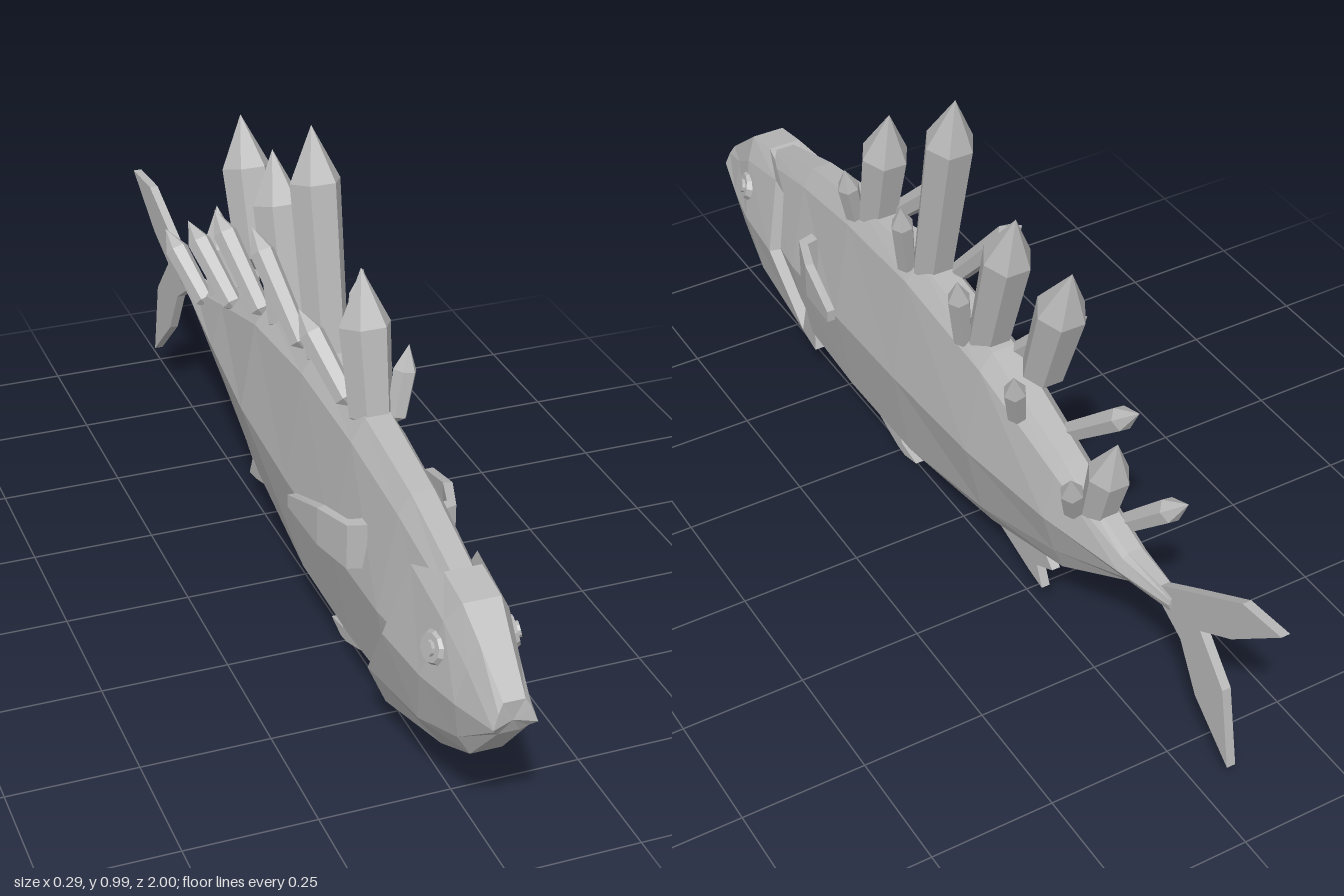
import * as THREE from 'three';

const grey = new THREE.MeshStandardMaterial({ color: 0xb8b8b8, flatShading: true });

// sideways sweep of the tail
const bend = (z) => (z < -0.5 ? (z + 0.5) * 0.08 : 0);

function add(parent, geo, name) {
  const flat = geo.index ? geo.toNonIndexed() : geo;
  flat.computeVertexNormals();
  const mesh = new THREE.Mesh(flat, grey);
  mesh.name = name;
  parent.add(mesh);
  return mesh;
}

// closed skin through rings of [x, y, z], capped at both ends
function loft(rings) {
  const pos = [];
  const tri = (...pts) => pts.forEach((p) => pos.push(...p));
  const n = rings[0].length;
  for (let i = 0; i < rings.length - 1; i++) {
    for (let j = 0; j < n; j++) {
      const k = (j + 1) % n;
      const a = rings[i][j], b = rings[i][k], c = rings[i + 1][k], d = rings[i + 1][j];
      tri(a, b, c);
      tri(a, c, d);
    }
  }
  const centre = (r) => [0, 1, 2].map((k) => r.reduce((s, p) => s + p[k], 0) / n);
  const first = rings[0], last = rings[rings.length - 1];
  for (let j = 0; j < n; j++) {
    const k = (j + 1) % n;
    tri(centre(first), first[k], first[j]);
    tri(centre(last), last[j], last[k]);
  }
  const geo = new THREE.BufferGeometry();
  geo.setAttribute('position', new THREE.Float32BufferAttribute(pos, 3));
  return geo;
}

// half ring listed from top to bottom, mirrored across x
const mirror = (half) => [...half, ...half.slice().reverse().map(([x, y, z]) => [-x, y, z])];

// flat fin from [z, y] outline points
function fin(outline, thick) {
  const shape = new THREE.Shape(outline.map(([z, y]) => new THREE.Vector2(-z, y)));
  const geo = new THREE.ExtrudeGeometry(shape, { depth: thick, bevelEnabled: false });
  geo.translate(0, 0, -thick / 2).rotateY(Math.PI / 2);
  const p = geo.attributes.position;
  for (let i = 0; i < p.count; i++) p.setX(i, p.getX(i) + bend(p.getZ(i)));
  return geo;
}

// six-sided pointed crystal standing from base to tip
function crystal(parent, base, tip, r, name) {
  const a = new THREE.Vector3(...base), b = new THREE.Vector3(...tip);
  const h = a.distanceTo(b);
  const profile = [[0, -r * 0.6], [r * 0.85, 0], [r, h - r * 2.1], [0, h]];
  const geo = new THREE.LatheGeometry(profile.map((p) => new THREE.Vector2(...p)), 6);
  geo.rotateY(Math.PI / 6);
  const mesh = add(parent, geo, name);
  mesh.position.copy(a);
  mesh.quaternion.setFromUnitVectors(new THREE.Vector3(0, 1, 0), b.sub(a).normalize());
}

export function createModel() {
  const fish = new THREE.Group();
  fish.name = 'crystalFish';

  // body: z, then [half-width, height] for top, shoulder, widest, low, keel
  const sections = [
    [0.80, [0.02, 0.46], [0.035, 0.43], [0.06, 0.30], [0.04, 0.17], [0.02, 0.15]],
    [0.59, [0.022, 0.525], [0.045, 0.485], [0.082, 0.295], [0.05, 0.12], [0.02, 0.08]],
    [0.38, [0.025, 0.565], [0.052, 0.52], [0.087, 0.30], [0.052, 0.105], [0.02, 0.065]],
    [0.13, [0.025, 0.58], [0.055, 0.535], [0.088, 0.31], [0.052, 0.108], [0.02, 0.065]],
    [-0.15, [0.025, 0.54], [0.052, 0.505], [0.083, 0.322], [0.045, 0.16], [0.02, 0.115]],
    [-0.40, [0.02, 0.455], [0.04, 0.43], [0.062, 0.335], [0.035, 0.24], [0.015, 0.19]],
    [-0.60, [0.015, 0.38], [0.025, 0.37], [0.035, 0.345], [0.022, 0.325], [0.01, 0.31]],
    [-0.72, [0.008, 0.362], [0.011, 0.355], [0.014, 0.345], [0.011, 0.335], [0.008, 0.328]],
  ];
  add(fish, loft(sections.map(([z, ...half]) =>
    mirror(half.map(([x, y]) => [x, y, z])).map(([x, y]) => [x + bend(z), y, z]))), 'body');

  // head: a slightly larger shell ending in the gill edge
  const headRings = [
    [[0.02, 0.352, 0.99], [0.03, 0.335, 0.995], [0.04, 0.308, 1], [0.03, 0.293, 0.985], [0.02, 0.28, 0.975]],
    [[0.028, 0.415, 0.91], [0.048, 0.37, 0.905], [0.066, 0.30, 0.90], [0.052, 0.22, 0.885], [0.03, 0.183, 0.89]],
    [[0.035, 0.462, 0.85], [0.06, 0.42, 0.83], [0.088, 0.298, 0.80], [0.072, 0.18, 0.76], [0.035, 0.13, 0.78]],
    [[0.035, 0.476, 0.77], [0.062, 0.45, 0.69], [0.1, 0.297, 0.66], [0.082, 0.15, 0.55], [0.05, 0.075, 0.56]],
  ];
  add(fish, loft(headRings.map(mirror)), 'head');

  // eyes and curved side fins
  for (const s of [1, -1]) {
    const side = s > 0 ? 'left' : 'right';
    const eye = new THREE.Group();
    eye.name = side + 'Eye';
    [[0.033, 0.012], [0.018, 0.024]].forEach(([r, h], i) =>
      add(eye, new THREE.CylinderGeometry(r * 0.8, r, h, 10), i ? 'pupil' : 'eyeRim'));
    eye.position.set(s * 0.074, 0.365, 0.82);
    eye.quaternion.setFromUnitVectors(
      new THREE.Vector3(0, 1, 0), new THREE.Vector3(s, 0.24, 0.22).normalize());
    fish.add(eye);

    // outer x, z, inner x, z, top, bottom
    const path = [
      [0.07, 0.51, 0.07, 0.485, 0.425, 0.335],
      [0.105, 0.50, 0.095, 0.48, 0.425, 0.335],
      [0.132, 0.42, 0.115, 0.415, 0.422, 0.345],
      [0.145, 0.30, 0.128, 0.30, 0.385, 0.36],
    ];
    const rings = path.map(([ox, oz, ix, iz, t, b]) => {
      const ring = [[s * ox, t, oz], [s * ox, b, oz], [s * ix, b, iz], [s * ix, t, iz]];
      return s > 0 ? ring : ring.reverse();
    });
    add(fish, loft(rings), side + 'SideFin');
  }

  // tail and belly fins
  add(fish, fin([[-0.66, 0.35], [-0.77, 0.415], [-0.90, 0.49], [-1, 0.492], [-0.88, 0.39],
    [-0.80, 0.345], [-0.87, 0.255], [-0.90, 0.085], [-0.80, 0.185], [-0.75, 0.285]], 0.018), 'tailFin');
  add(fish, fin([[0.42, 0.08], [0.33, 0.03], [0.26, 0.004], [0.23, 0], [0.18, 0.013],
    [0.24, 0.025], [0.28, 0.08]], 0.022), 'bellyFin');
  add(fish, fin([[-0.10, 0.125], [-0.27, 0.075], [-0.32, 0.065], [-0.30, 0.11], [-0.355, 0.14],
    [-0.30, 0.19], [-0.2, 0.2]], 0.018), 'rearBellyFin');

  // crystal ridge: base y, z, tip y, z, radius
  const ridge = [
    [0.55, 0.345, 0.818, 0.287, 0.05],
    [0.56, 0.12, 0.992, 0.03, 0.05],
    [0.53, -0.095, 0.858, -0.187, 0.05],
    [0.585, -0.29, 0.858, -0.378, 0.05],
    [0.40, -0.49, 0.59, -0.542, 0.042],
  ];
  const leftShards = [
    [0.55, 0.365, 0.68, 0.345],
    [0.56, 0.15, 0.727, 0.115],
    [0.525, -0.07, 0.69, -0.10],
    [0.48, -0.27, 0.605, -0.305],
    [0.40, -0.47, 0.51, -0.505],
  ];
  const rightShards = [
    [0.57, 0.31, 0.70, 0.18],
    [0.57, 0.07, 0.752, -0.08],
    [0.53, -0.16, 0.69, -0.31],
    [0.46, -0.34, 0.59, -0.49],
    [0.38, -0.53, 0.50, -0.655],
  ];
  const crystals = new THREE.Group();
  crystals.name = 'crystals';
  fish.add(crystals);
  ridge.forEach(([y, z, ty, tz, r]) => crystal(crystals, [0, y, z], [0, ty, tz], r, 'ridgeCrystal'));
  leftShards.forEach(([y, z, ty, tz]) => crystal(crystals, [0.042, y, z], [0.072, ty, tz], 0.023, 'leftShard'));
  rightShards.forEach(([y, z, ty, tz]) => crystal(crystals, [-0.035, y, z], [-0.08, ty, tz], 0.025, 'rightShard'));

  return fish;
}
